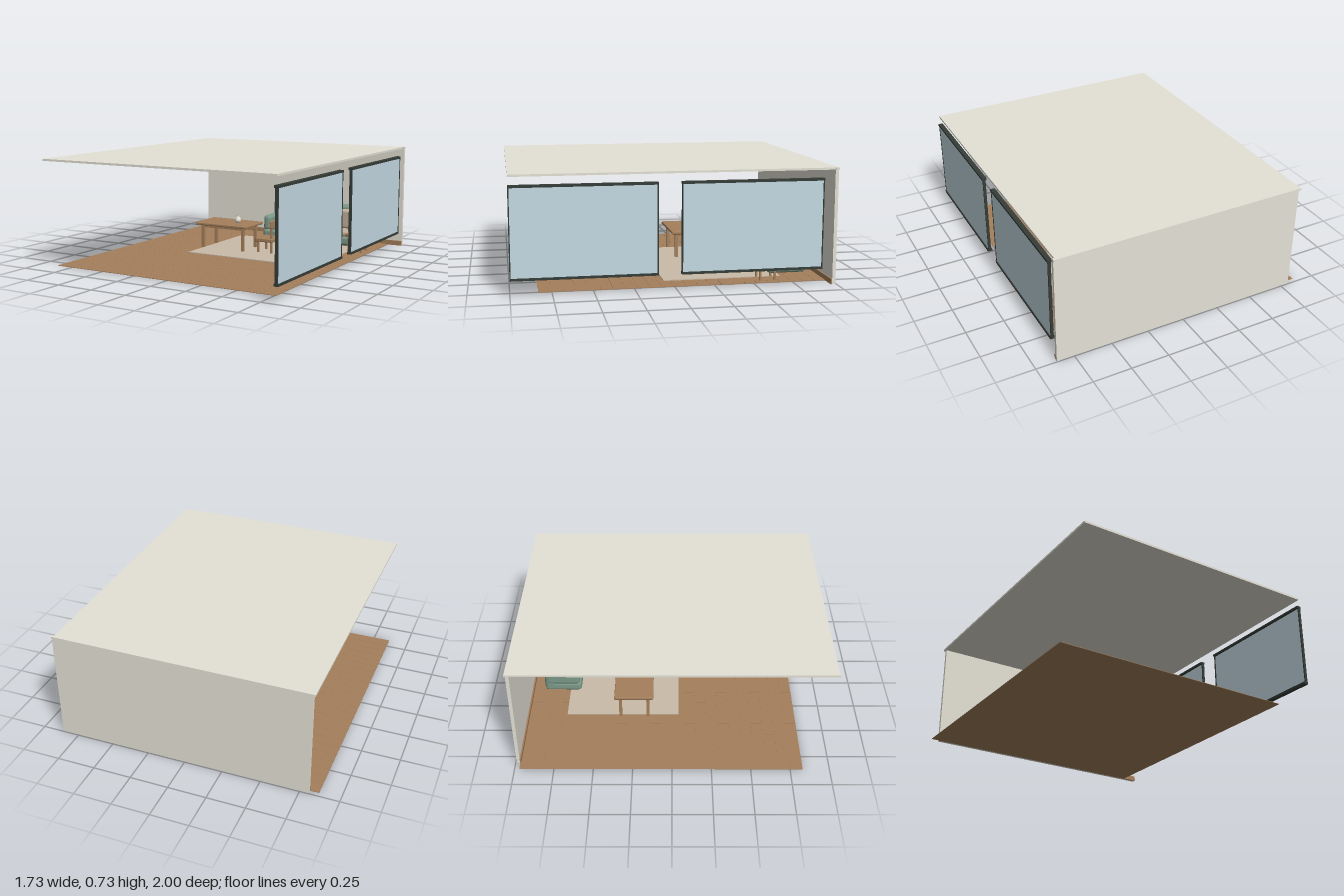
import * as THREE from 'three';
import { RoundedBoxGeometry } from 'three/addons/geometries/RoundedBoxGeometry.js';

const paint = (name, color) => {
  const m = new THREE.MeshStandardMaterial({ color });
  m.name = name;
  return m;
};

export function createModel() {
  const mat = {
    wall: paint('plaster', 0xe5e2d6),
    wood: paint('oak', 0xa5805c),
    frame: paint('window frame', 0x363d37),
    glass: paint('pale glass', 0xc6dbe4),
    sofa: paint('sage fabric', 0x7c9a89),
    cushion: paint('beige fabric', 0xc4b29e),
    rug: paint('rug', 0xcabba8),
    vase: paint('ceramic', 0xe2ded5),
  };
  const room = new THREE.Group();
  room.name = 'room';

  const group = (name) => {
    const g = new THREE.Group();
    g.name = name;
    room.add(g);
    return g;
  };
  // Box given by its [min, max] ranges; a radius rounds its edges
  const box = (parent, name, material, [x0, x1], [y0, y1], [z0, z1], r = 0) => {
    const s = [x1 - x0, y1 - y0, z1 - z0];
    const geo = r ? new RoundedBoxGeometry(...s, 4, r) : new THREE.BoxGeometry(...s);
    const m = new THREE.Mesh(geo, material);
    m.name = name;
    m.position.set((x0 + x1) / 2, (y0 + y1) / 2, (z0 + z1) / 2);
    parent.add(m);
  };
  const legs = (parent, xs, zs, y0, y1, w) => {
    for (const x of xs) for (const z of zs)
      box(parent, 'leg', mat.wood, [x - w / 2, x + w / 2], [y0, y1], [z - w / 2, z + w / 2]);
  };

  // Shell: back wall, crown, ceiling and skirting
  const shell = group('shell');
  box(shell, 'backWall', mat.wall, [-0.808, 0.862], [0, 0.715], [-0.994, -0.973]);
  box(shell, 'crown', mat.wall, [-0.82, 0.862], [0.713, 0.727], [-1, -0.98]);
  box(shell, 'ceiling', mat.wall, [-0.82, 0.85], [0.714, 0.727], [-0.98, 1]);
  box(shell, 'skirting', mat.wood, [-0.808, 0.862], [0, 0.034], [-0.973, -0.964]);

  // Floor: staggered planks with fine joints over a thin base
  const floor = group('floor');
  const fx = [-0.865, 0.76], fz = [-0.97, 0.83], rows = 24, gap = 0.001;
  box(floor, 'floorBase', mat.wood, fx, [0, 0.0025], fz);
  const pitch = (fz[1] - fz[0]) / rows, plank = 0.325;
  for (let i = 0; i < rows; i++) {
    const z = fz[0] + i * pitch;
    for (let x = fx[0] - (i % 3) * plank / 3; x < fx[1] - 0.01; x += plank) {
      const a = Math.max(x, fx[0]), b = Math.min(x + plank - gap, fx[1]);
      box(floor, 'plank', mat.wood, [a, b], [0.001, 0.0035], [z, z + pitch - gap]);
    }
  }
  box(room, 'rug', mat.rug, [-0.345, 0.62], [0.003, 0.009], [-0.71, 0.045]);

  // Two windows on the left side
  for (const [z0, z1] of [[0.117, 1], [-0.908, -0.025]]) {
    const w = group('window');
    box(w, 'glass', mat.glass, [0.845, 0.855], [0.11, 0.655], [z0 + 0.006, z1 - 0.006]);
    for (const y of [0.1, 0.65]) box(w, 'rail', mat.frame, [0.831, 0.861], [y, y + 0.015], [z0, z1]);
    for (const z of [z0, z1 - 0.007]) box(w, 'post', mat.frame, [0.839, 0.858], [0.112, 0.652], [z, z + 0.007]);
  }

  // Sofa with three seats
  const sofa = group('sofa');
  box(sofa, 'base', mat.sofa, [-0.115, 0.632], [0.025, 0.092], [-0.88, -0.63], 0.022);
  box(sofa, 'back', mat.sofa, [-0.115, 0.632], [0.03, 0.295], [-0.885, -0.8], 0.028);
  for (const x of [-0.118, 0.568])
    box(sofa, 'arm', mat.sofa, [x, x + 0.062], [0.078, 0.195], [-0.875, -0.64], 0.026);
  for (let i = 0; i < 3; i++) {
    const x = [-0.08 + i * 0.2285, 0.136 + i * 0.2285];
    box(sofa, 'seatCushion', mat.cushion, x, [0.086, 0.13], [-0.82, -0.638], 0.018);
    box(sofa, 'backCushion', mat.cushion, x, [0.125, 0.267], [-0.825, -0.755], 0.022);
  }

  // Dining table
  const table = group('diningTable');
  box(table, 'tableTop', mat.wood, [-0.395, 0.02], [0.175, 0.194], [-0.385, -0.125], 0.006);
  for (const z of [-0.35, -0.17]) box(table, 'apron', mat.wood, [-0.35, -0.025], [0.155, 0.176], [z, z + 0.01]);
  for (const x of [-0.357, -0.028]) box(table, 'apron', mat.wood, [x, x + 0.01], [0.155, 0.176], [-0.345, -0.165]);
  legs(table, [-0.352, -0.023], [-0.347, -0.163], 0.008, 0.176, 0.02);

  // Vase
  const profile = [[0, 0], [0.013, 0], [0.021, 0.01], [0.023, 0.02], [0.018, 0.033], [0.009, 0.043], [0.008, 0.05],
    [0.011, 0.056], [0.008, 0.054], [0, 0.046]].map(([x, y]) => new THREE.Vector2(x, y));
  const vase = new THREE.Mesh(new THREE.LatheGeometry(profile, 28), mat.vase);
  vase.name = 'vase';
  vase.position.set(-0.115, 0.194, -0.255);
  room.add(vase);

  // Chair facing the table
  const chair = group('chair');
  box(chair, 'seat', mat.wood, [0.065, 0.2], [0.086, 0.112], [-0.333, -0.18], 0.006);
  legs(chair, [0.084, 0.186], [-0.317, -0.197], 0.008, 0.09, 0.013);
  for (const z of [-0.317, -0.197])
    box(chair, 'backPost', mat.wood, [0.18, 0.193], [0.1, 0.2], [z - 0.006, z + 0.006]);
  box(chair, 'backRest', mat.wood, [0.178, 0.196], [0.185, 0.238], [-0.333, -0.18], 0.005);

  // Side table
  const side = group('sideTable');
  box(side, 'tableTop', mat.wood, [0.595, 0.732], [0.118, 0.133], [-0.672, -0.535], 0.004);
  legs(side, [0.617, 0.711], [-0.65, -0.556], 0.0035, 0.122, 0.012);

  return room;
}
